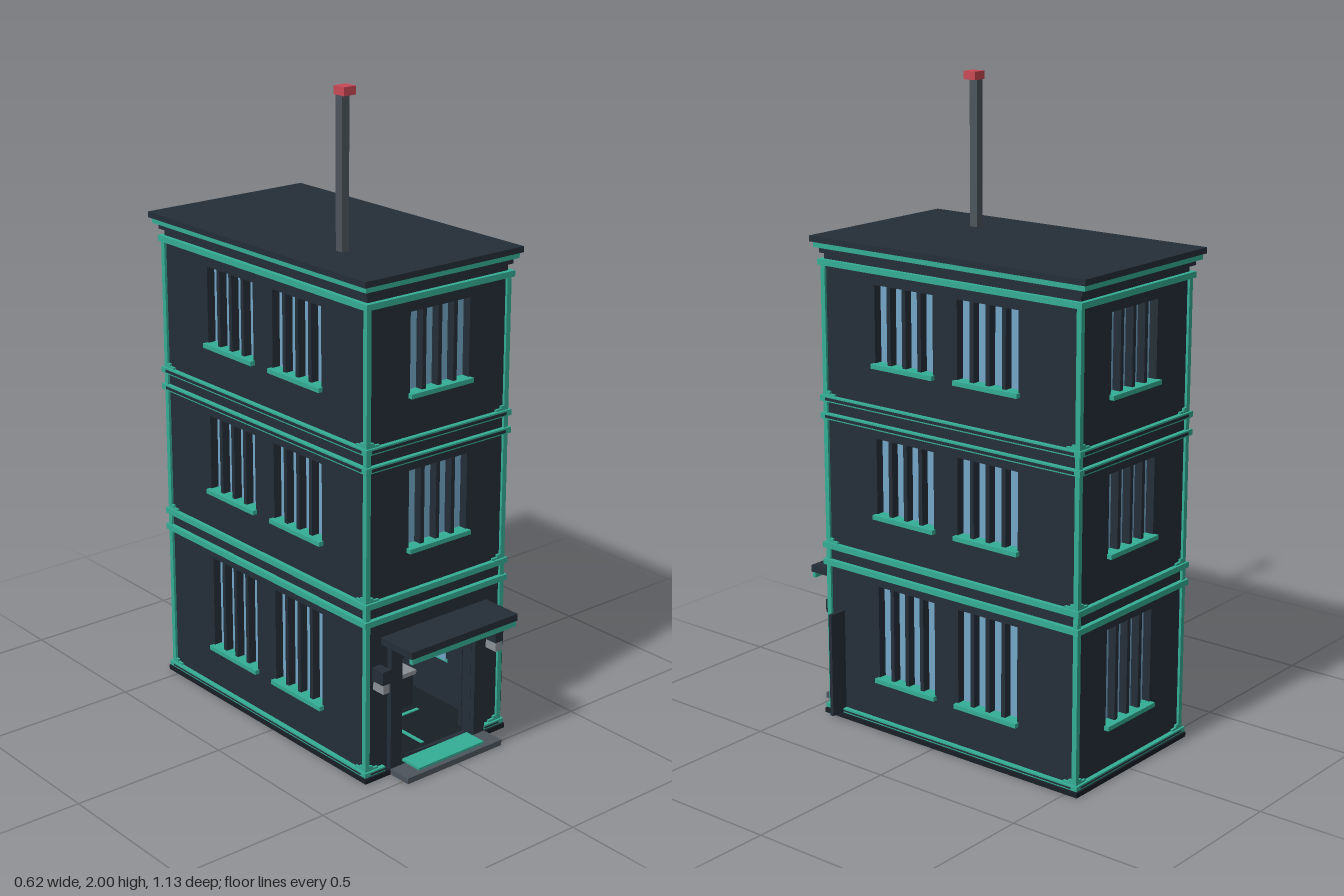
import * as THREE from 'three';

const mat = (name, color) => {
  const m = new THREE.MeshStandardMaterial({ color });
  m.name = name;
  return m;
};

export function createModel() {
  const M = {
    wall: mat('dark slate', 0x242e38),
    trim: mat('teal trim', 0x34ad95),
    glass: mat('window blue', 0x72a6c6),
    metal: mat('steel grey', 0x4c545c),
    light: mat('light grey', 0x8a9096),
    red: mat('beacon red', 0xc84855),
    black: mat('near black', 0x181f26),
    rug: mat('deep green', 0x1c4a43),
  };
  const root = new THREE.Group();
  root.name = 'towerBuilding';

  // Box given by its minimum and maximum corners
  function box(parent, name, m, x0, x1, y0, y1, z0, z1) {
    const mesh = new THREE.Mesh(new THREE.BoxGeometry(x1 - x0, y1 - y0, z1 - z0), m);
    mesh.position.set((x0 + x1) / 2, (y0 + y1) / 2, (z0 + z1) / 2);
    mesh.name = name;
    parent.add(mesh);
    return mesh;
  }
  const rectPath = (P, x0, x1, y0, y1) => {
    const p = new P();
    p.moveTo(x0, y0).lineTo(x1, y0).lineTo(x1, y1).lineTo(x0, y1).closePath();
    return p;
  };

  const CX = -0.016, CZ = -0.05, W = 0.526, D = 0.954, T = 0.03, TOP = 1.5;
  const DOOR = [-0.155, 0.15, 0.015, 0.375];
  const floors = [[0.16, 0.465], [0.69, 0.935], [1.16, 1.405]];
  const bands = [[0.025, 0.014, true], [0.505, 0.018], [0.56, 0.018],
    [0.975, 0.018, true], [1.03, 0.018, true], [1.45, 0.018]];

  // One recessed window with deep bars and a sill; outer wall face is z = 0
  function addWindow(face, u, y0, y1) {
    const g = new THREE.Group();
    g.name = 'window';
    const h = 0.112, pitch = 0.0587;
    box(g, 'glass', M.glass, u - h, u + h, y0, y1, -T - 0.002, -T + 0.003);
    for (let i = -1; i <= 1; i++) {
      box(g, 'windowBar', M.wall, u + i * pitch - 0.007, u + i * pitch + 0.007, y0, y1, -T + 0.003, -0.001);
    }
    box(g, 'windowSill', M.trim, u - h - 0.006, u + h + 0.006, y0 - 0.006, y0 + 0.008, -T, 0.016);
    face.add(g);
  }

  // A full-height wall with window holes, horizontal bands and corner brackets
  function addFace(name, width, x, z, turn, columns, isFront) {
    const face = new THREE.Group();
    face.name = name;
    face.position.set(x, 0, z);
    face.rotation.y = turn;
    const w = width / 2;
    const shape = rectPath(THREE.Shape, -w, w, 0.01, TOP);
    if (isFront) shape.holes.push(rectPath(THREE.Path, ...DOOR));
    floors.forEach(([y0, y1], i) => {
      if (isFront && i === 0) return;
      for (const u of columns) {
        shape.holes.push(rectPath(THREE.Path, u - 0.112, u + 0.112, y0, y1));
        addWindow(face, u, y0, y1);
      }
    });
    const geo = new THREE.ExtrudeGeometry(shape, { depth: T, bevelEnabled: false });
    geo.translate(0, 0, -T);
    const wall = new THREE.Mesh(geo, M.wall);
    wall.name = 'wall';
    face.add(wall);

    for (const [y, t, inlaid] of bands) {
      const runs = isFront && y < 0.1 ? [[-w - 0.015, -0.2], [0.2, w + 0.015]] : [[-w - 0.015, w + 0.015]];
      for (const [a, b] of runs) {
        box(face, 'band', M.trim, a, b, y - t / 2, y + t / 2, -0.004, 0.015);
        if (inlaid) {
          box(face, 'bandInlay', M.wall, Math.max(a, -w + 0.006), Math.min(b, w - 0.006),
            y - t / 2 + 0.004, y + t / 2 - 0.005, 0.012, 0.0158);
        }
      }
    }
    // Small stepped brackets in the lower corners of each storey
    for (const y of [0.032, 0.569, 1.039]) {
      for (const s of [-1, 1]) {
        const c = s * (w - 0.022);
        box(face, 'cornerBracket', M.trim, c - 0.018, c + 0.018, y, y + 0.006, 0, 0.008);
        box(face, 'cornerBracketStep', M.trim, c + s * 0.01 - 0.008, c + s * 0.01 + 0.008, y + 0.006, y + 0.014, 0, 0.008);
      }
    }
    root.add(face);
  }
  addFace('frontFace', W, CX, CZ + D / 2, 0, [0.006], true);
  addFace('backFace', W, CX, CZ - D / 2, Math.PI, [-0.006], false);
  addFace('leftFace', D, CX + W / 2, CZ, Math.PI / 2, [-0.165, 0.15], false);
  addFace('rightFace', D, CX - W / 2, CZ, -Math.PI / 2, [0.165, -0.15], false);

  // Corner posts
  for (const sx of [-1, 1]) {
    for (const sz of [-1, 1]) {
      const x = CX + sx * W / 2, z = CZ + sz * D / 2;
      box(root, 'cornerPost', M.trim, x - 0.008, x + 0.008, 0.015, 1.458, z - 0.008, z + 0.008);
    }
  }

  // Base, storey slabs and roof
  box(root, 'basePlinth', M.black, -0.295, 0.264, 0, 0.015, -0.545, 0.445);
  for (const y of [0.52, 0.99]) {
    box(root, 'storeySlab', M.wall, CX - W / 2 + T, CX + W / 2 - T, y, y + 0.02, CZ - D / 2 + T, CZ + D / 2 - T);
  }
  box(root, 'roofTrim', M.trim, -0.302, 0.272, 1.495, 1.514, -0.558, 0.448);
  box(root, 'roof', M.wall, -0.311, 0.28, 1.512, 1.53, -0.565, 0.456);
  box(root, 'soffit', M.wall, -0.29, 0.26, 1.478, 1.496, -0.542, 0.435);

  // Roof mast with a red beacon
  box(root, 'mast', M.metal, -0.164, -0.138, 1.53, 1.975, 0.152, 0.18);
  box(root, 'beacon', M.red, -0.166, -0.122, 1.975, 2, 0.146, 0.19);

  // Entrance: jambs, header, canopy, lamps, step and mat
  const entrance = new THREE.Group();
  entrance.name = 'entrance';
  root.add(entrance);
  for (const [a, b] of [[-0.198, -0.155], [0.135, 0.178]]) {
    box(entrance, 'doorJamb', M.wall, a, b, 0.015, 0.375, 0.39, 0.444);
  }
  box(entrance, 'doorHeader', M.wall, -0.198, 0.178, 0.365, 0.425, 0.39, 0.444);
  box(entrance, 'canopy', M.wall, -0.223, 0.192, 0.424, 0.446, 0.42, 0.562);
  box(entrance, 'canopyTrim', M.trim, -0.22, 0.189, 0.406, 0.424, 0.548, 0.56);
  for (const x of [-0.24, 0.205]) {
    box(entrance, 'lampHood', M.wall, x - 0.016, x + 0.016, 0.318, 0.36, 0.427, 0.474);
    box(entrance, 'lamp', M.light, x - 0.012, x + 0.012, 0.288, 0.318, 0.427, 0.472);
  }
  box(entrance, 'step', M.metal, -0.198, 0.178, 0, 0.018, 0.445, 0.522);
  box(entrance, 'doorMat', M.trim, -0.14, 0.12, 0.018, 0.026, 0.43, 0.506);
  box(entrance, 'slidingDoor', M.wall, 0.14, 0.308, 0.02, 0.355, 0.37, 0.382);

  // Lobby: rug, floor inlay, counter, screen, stool and side panel
  const lobby = new THREE.Group();
  lobby.name = 'lobby';
  root.add(lobby);
  box(lobby, 'rug', M.rug, -0.17, 0.17, 0.013, 0.019, -0.36, -0.07);
  box(lobby, 'rugUnderside', M.rug, -0.17, 0.17, -0.001, 0.002, -0.36, -0.07);
  for (const y of [0.015, -0.001]) {
    box(lobby, 'floorInlay', M.trim, -0.15, 0.12, y, y + 0.003, 0.2, 0.212);
    box(lobby, 'floorInlay', M.trim, -0.021, -0.009, y, y + 0.003, 0.07, 0.38);
  }
  box(lobby, 'counter', M.wall, -0.15, 0.13, 0.015, 0.122, 0.08, 0.17);
  box(lobby, 'counterTop', M.light, -0.155, 0.135, 0.122, 0.136, 0.07, 0.18);
  box(lobby, 'counterMark', M.trim, -0.034, -0.004, 0.071, 0.079, 0.17, 0.174);
  box(lobby, 'counterMark', M.trim, -0.023, -0.015, 0.06, 0.09, 0.17, 0.174);
  box(lobby, 'screen', M.black, 0, 0.088, 0.165, 0.222, 0.11, 0.125);
  box(lobby, 'screenStand', M.metal, 0.036, 0.052, 0.136, 0.165, 0.11, 0.125);
  box(lobby, 'stoolPost', M.metal, 0.03, 0.06, 0.015, 0.12, 0, 0.03);
  box(lobby, 'stoolSeat', M.red, 0.015, 0.075, 0.12, 0.14, -0.015, 0.045);
  box(lobby, 'shelf', M.trim, -0.165, -0.14, 0.15, 0.26, -0.2, -0.17);
  box(lobby, 'bench', M.trim, -0.14, 0.01, 0.142, 0.16, -0.3, -0.24);
  box(lobby, 'benchBase', M.wall, -0.13, 0, 0.015, 0.142, -0.29, -0.25);
  return root;
}
